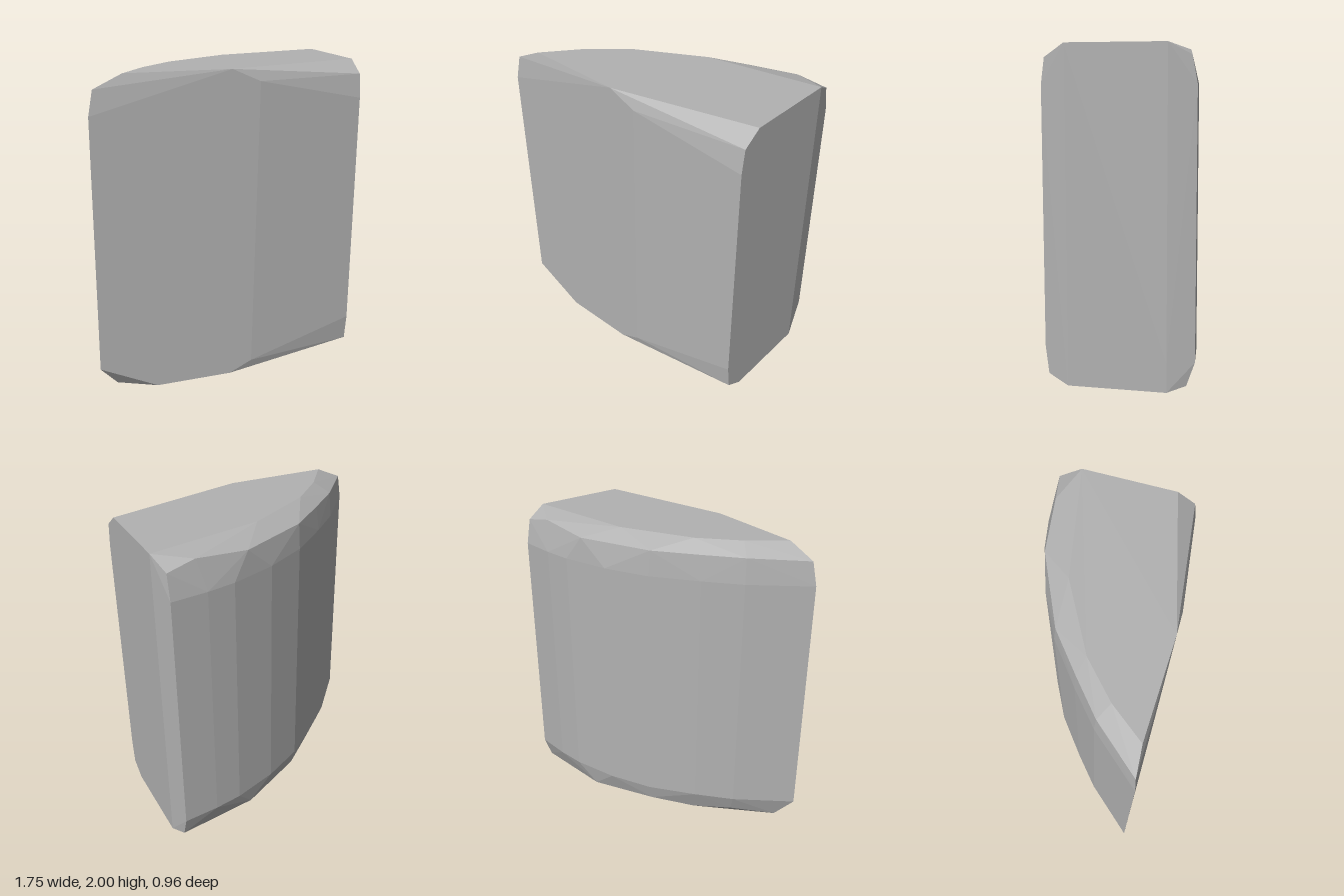
import * as THREE from 'three';
import { ConvexGeometry } from 'three/addons/geometries/ConvexGeometry.js';

export function createModel() {
  const group = new THREE.Group();
  group.name = 'chippedStoneBlock';
  const stone = new THREE.MeshStandardMaterial({ color: 0xb2b2b2, flatShading: true });
  stone.name = 'stone grey';

  // Curved back wall, as [x, z] from the thin tip to the wide end
  const back = [[-0.6, 0.17], [-0.4, 0], [-0.14, -0.2], [0.13, -0.335], [0.42, -0.43], [0.6, -0.46]];
  const points = [];
  const add = (y, list) => list.forEach(([x, z]) => points.push(new THREE.Vector3(x, y, z)));

  // Upright walls
  for (const y of [0.18, 1.77]) add(y, [[-0.875, 0.48], ...back, [0.83, -0.48], [0.87, -0.32]]);
  for (const y of [0.24, 1.77]) add(y, [[0.87, 0.405]]);

  // Upper chamfer
  add(1.92, [[-0.845, 0.468], [0.16, 0.48], [0.87, 0.385]]);
  add(1.93, [[-0.59, 0.18], [-0.38, 0.005], [-0.14, -0.185], [0.31, -0.385], [0.83, -0.45]]);
  add(1.965, [[0.65, -0.42]]);

  // Flat top
  add(2, [[0.87, 0.27], [-0.02, 0.48], [-0.67, 0.455], [-0.5, 0.24], [-0.28, 0.04], [0.15, -0.19], [0.87, -0.32]]);

  // Lower chamfer
  add(0.035, [[-0.76, 0.42], [-0.35, 0.03], [0.3, -0.36], [0.83, -0.43]]);
  add(0.07, [[0.13, 0.48], [0.87, 0.385], [-0.56, 0.19], [-0.13, -0.17]]);

  // Flat underside
  add(0, [[0.87, 0.27], [-0.02, 0.48], [-0.51, 0.48], [-0.62, 0.42], [-0.5, 0.24], [-0.28, 0.04], [0.15, -0.19], [0.87, -0.32]]);

  const block = new THREE.Mesh(new ConvexGeometry(points), stone);
  block.name = 'stoneBlock';
  group.add(block);
  return group;
}
